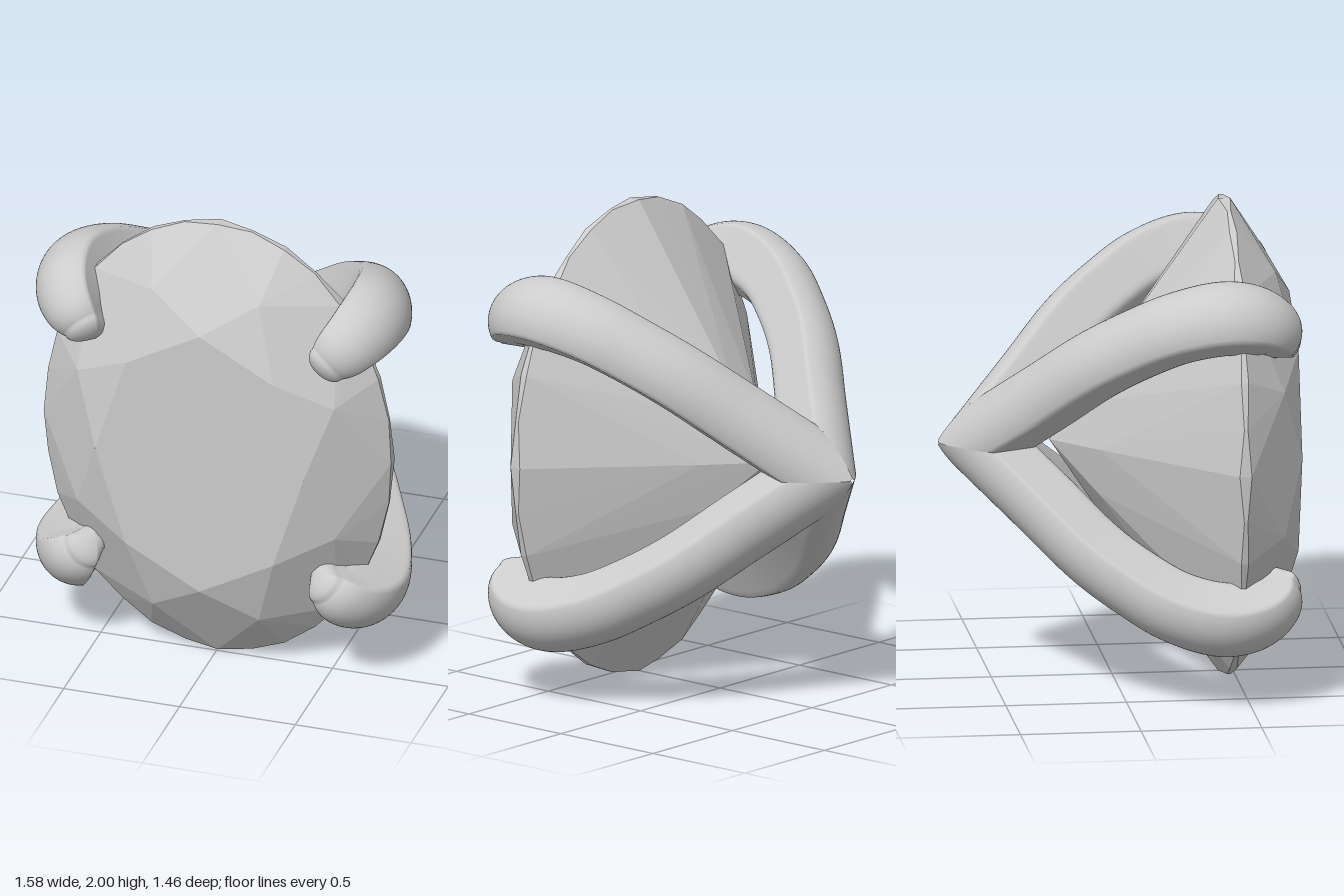
import * as THREE from 'three';

const CENTRE_Y = 1;

// Faceted oval stone: crown, scalloped girdle and pavilion, 8-fold in angle
function makeGem() {
  const pos = [];
  const tri = (...pts) => pts.forEach((p) => pos.push(p.x, p.y, p.z));
  // point k of 32 around the oval, at relative radius r
  const P = (k, r, z) => {
    const a = (k / 32) * Math.PI * 2;
    return new THREE.Vector3(0.75 * r * Math.cos(a), r * Math.sin(a), z);
  };
  // girdle edges, thickest where facet corners meet
  const upper = (k) => P(k, 1, [0.49, 0.475, 0.483, 0.475][(k + 32) % 4]);
  const lower = (k) => P(k, 1, [0.44, 0.46, 0.453, 0.46][(k + 32) % 4]);
  const tableCentre = P(0, 0, 0.735);
  const culet = P(0, 0, -0.26);

  for (let k = 0; k < 32; k += 4) {
    const t0 = P(k, 0.6, 0.735), t1 = P(k + 4, 0.6, 0.735);
    const star = P(k + 2, 0.8, 0.65), prev = P(k - 2, 0.8, 0.65);
    tri(tableCentre, t0, t1);
    tri(t0, star, t1);
    tri(t0, prev, upper(k));
    tri(t0, upper(k), star);
    for (let j = k; j < k + 4; j++) {
      tri(star, upper(j), upper(j + 1));
      tri(lower(j), lower(j + 1), upper(j + 1));
      tri(lower(j), upper(j + 1), upper(j));
    }
    // pavilion kites and the lower half facets between them
    const j0 = P(k, 0.28, -0.075), j1 = P(k + 4, 0.28, -0.075);
    tri(culet, lower(k + 2), j0);
    tri(culet, j1, lower(k + 2));
    for (let j = k - 2; j < k + 2; j++) tri(j0, lower(j + 1), lower(j));
  }
  const geo = new THREE.BufferGeometry();
  geo.setAttribute('position', new THREE.Float32BufferAttribute(pos, 3));
  geo.computeVertexNormals();
  return geo;
}

// Claw section: x points away from the stone; round back, flanks narrowing to a flat inside
function clawSection() {
  const s = new THREE.Shape();
  s.absarc(0, 0, 0.19, -0.95, 0.95);
  s.lineTo(-0.06, 0.1);
  s.quadraticCurveTo(-0.095, 0.088, -0.095, 0.055);
  s.lineTo(-0.095, -0.055);
  s.quadraticCurveTo(-0.095, -0.088, -0.06, -0.1);
  s.closePath();
  return s.getSpacedPoints(56).slice(0, -1);
}

// Claw: the section swept along a curve in the diagonal plane x = y
function makeProng() {
  const STEPS = 56, CAP = 8, TIP = 0.06;
  const section = clawSection(), SIDES = section.length;
  // distance along x and y, z, section scale
  const stations = [
    [0.2, -0.275, 0.96], [0.375, -0.085, 0.95], [0.48, 0.07, 0.95], [0.558, 0.22, 0.97],
    [0.6, 0.39, 1], [0.592, 0.5, 0.95], [0.562, 0.575, 0.82], [0.51, 0.62, 0.58],
  ];
  const path = new THREE.CatmullRomCurve3(stations.map(([c, z]) => new THREE.Vector3(c, c, z)));
  const scales = new THREE.CatmullRomCurve3(stations.map(([, , s], i) => new THREE.Vector3(i, s, 0)));
  const B = new THREE.Vector3(-1, 1, 0).normalize();
  const pos = [];

  const ring = (centre, T, scale, mitre) => {
    const N = B.clone().cross(T);
    for (const q of section) {
      const p = centre.clone().addScaledVector(N, scale * q.x).addScaledVector(B, scale * q.y);
      // slide back along the claw to the planes shared with its neighbours
      if (mitre) p.addScaledVector(T, -Math.min(p.x, p.y) / T.x);
      pos.push(p.x, p.y, p.z);
    }
  };

  const start = path.getPoint(0);
  const startT = start.clone().sub(new THREE.Vector3(0, 0, -0.495)).normalize();
  ring(start, startT, stations[0][2], true);
  for (let i = 0; i <= STEPS; i++) {
    const t = i / STEPS;
    ring(path.getPoint(t), i ? path.getTangent(t) : startT, scales.getPoint(t).y, false);
  }
  // rounded tip
  const end = path.getPoint(1), endT = path.getTangent(1), endScale = stations.at(-1)[2];
  for (let i = 1; i <= CAP; i++) {
    const a = (i / CAP) * Math.PI * 0.499;
    ring(end.clone().addScaledVector(endT, TIP * Math.sin(a)), endT, endScale * Math.cos(a), false);
  }

  const index = [];
  const rings = pos.length / 3 / SIDES;
  for (let i = 0; i < rings - 1; i++) {
    for (let j = 0; j < SIDES; j++) {
      const a = i * SIDES + j, b = i * SIDES + ((j + 1) % SIDES);
      index.push(a, b, b + SIDES, a, b + SIDES, a + SIDES);
    }
  }
  const geo = new THREE.BufferGeometry();
  geo.setAttribute('position', new THREE.Float32BufferAttribute(pos, 3));
  geo.setIndex(index);
  geo.computeVertexNormals();
  return geo;
}

export function createModel() {
  const model = new THREE.Group();
  model.name = 'ovalGemInProngSetting';

  const gem = new THREE.Mesh(
    makeGem(),
    new THREE.MeshStandardMaterial({ color: 0xcccccc, flatShading: true }),
  );
  gem.name = 'gem';
  gem.position.y = CENTRE_Y;
  model.add(gem);

  // four identical claws turned about the front-to-back axis
  const setting = new THREE.Group();
  setting.name = 'setting';
  setting.position.y = CENTRE_Y;
  const prongGeo = makeProng();
  const metal = new THREE.MeshStandardMaterial({ color: 0xcccccc });
  ['prongTopLeft', 'prongTopRight', 'prongBottomRight', 'prongBottomLeft'].forEach((name, i) => {
    const prong = new THREE.Mesh(prongGeo, metal);
    prong.name = name;
    prong.rotation.z = (i * Math.PI) / 2;
    setting.add(prong);
  });
  model.add(setting);
  return model;
}
